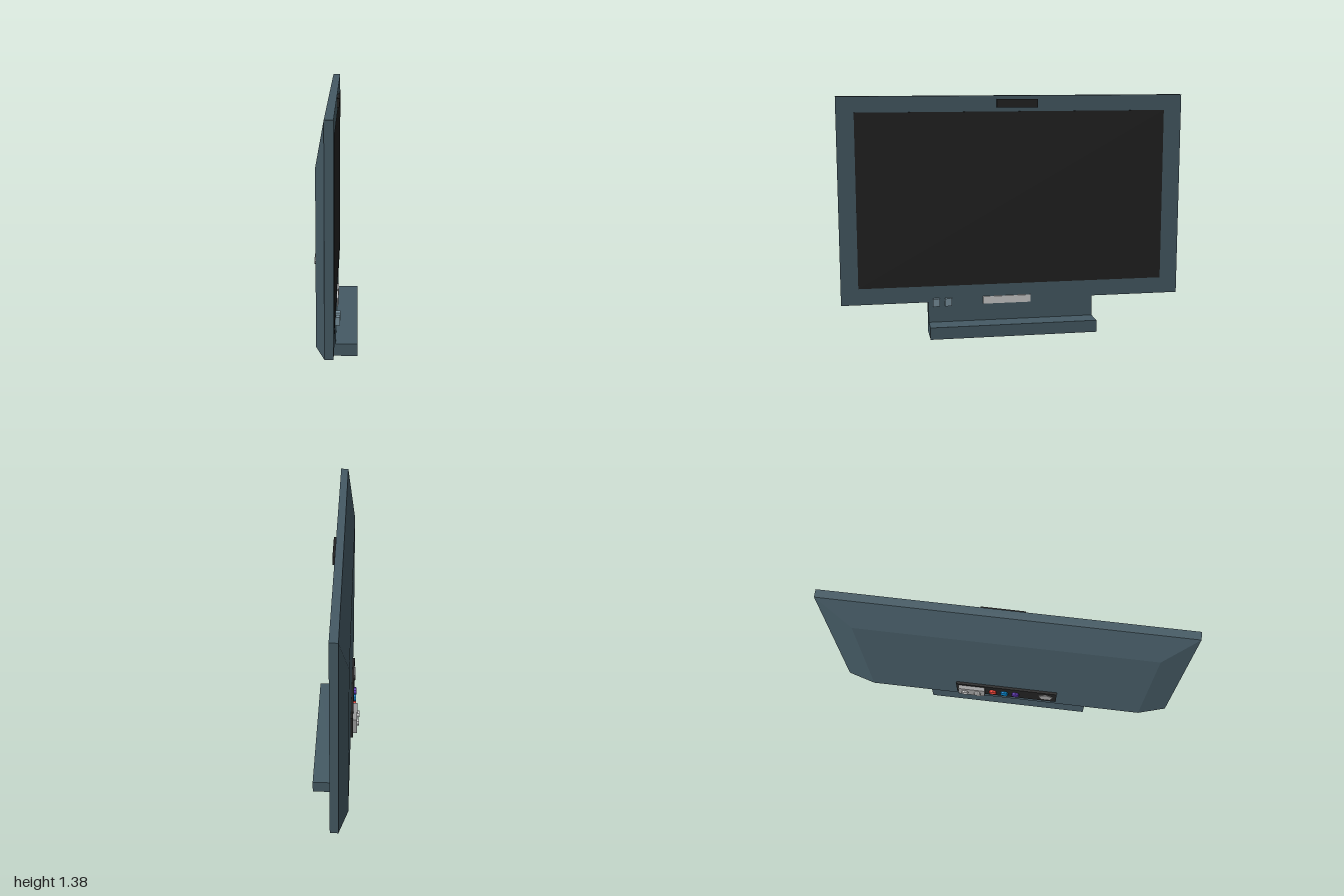
import * as THREE from 'three';

const mat = (color) => new THREE.MeshStandardMaterial({ color, flatShading: true });
const shell = mat(0x455a64), black = mat(0x212121), silver = mat(0xbdbdbd);
const grey = mat(0x9e9e9e), buttonGrey = mat(0x78909c);

export function createModel() {
  const root = new THREE.Group();
  const add = (name, geometry, material) => {
    const mesh = new THREE.Mesh(geometry, material);
    mesh.name = name;
    root.add(mesh);
    return mesh;
  };
  // Box given by its extents on each axis
  const box = (name, material, [x0, x1], [y0, y1], [z0, z1]) => {
    const g = new THREE.BoxGeometry(x1 - x0, y1 - y0, z1 - z0);
    g.translate((x0 + x1) / 2, (y0 + y1) / 2, (z0 + z1) / 2);
    return add(name, g, material);
  };
  // Short round plug lying along x on the back
  const plug = (name, material, radius, x0, x1, y, z, sides, turn = 0) => {
    const g = new THREE.CylinderGeometry(radius, radius, x1 - x0, sides);
    g.rotateY(turn).rotateZ(Math.PI / 2).translate((x0 + x1) / 2, y, z);
    return add(name, g, material);
  };

  // Front frame and screen facing +x
  box('frame', shell, [-0.035, 0.01], [0.19, 1.38], [-1, 1]);
  box('screen', black, [0, 0.012], [0.285, 1.29], [-0.895, 0.9]);

  // Back cover: a box whose rear face narrows at the top and both sides
  const cover = box('backCover', shell, [-0.083, -0.035], [0.19, 1.38], [-1, 1]);
  const p = cover.geometry.attributes.position;
  for (let i = 0; i < p.count; i++) {
    if (p.getX(i) < -0.06) {
      p.setZ(i, Math.sign(p.getZ(i)) * 0.835);
      if (p.getY(i) > 1) p.setY(i, 1.12);
    }
  }
  cover.geometry.computeVertexNormals();

  // L-shaped stand, extruded along z
  const profile = new THREE.Shape([
    [-0.06, 0], [0.13, 0], [0.13, 0.07], [0.01, 0.07], [0.01, 0.19], [-0.06, 0.19],
  ].map(([x, y]) => new THREE.Vector2(x, y)));
  const stand = new THREE.ExtrudeGeometry(profile, { depth: 0.975, bevelEnabled: false });
  add('stand', stand.translate(0, 0, -0.475), shell);

  // Front details
  box('topSensor', black, [0.01, 0.024], [1.312, 1.36], [-0.14, 0.097]);
  box('namePlate', silver, [0.01, 0.018], [0.17, 0.213], [-0.102, 0.18]);
  for (const z of [0.385, 0.455]) {
    box('button', buttonGrey, [0.005, 0.034], [0.168, 0.213], [z - 0.02, z + 0.02]);
  }

  // Connector panel on the back
  box('connectorPanel', black, [-0.097, -0.083], [0.265, 0.405], [-0.3, 0.315]);
  box('terminalBlock', grey, [-0.12, -0.097], [0.288, 0.384], [-0.285, -0.125]);
  for (const z of [-0.245, -0.168]) {
    plug('terminalPost', silver, 0.021, -0.132, -0.12, 0.338, z, 8);
  }
  [[0xf44336, -0.075], [0x0288d1, -0.005], [0x5e35b1, 0.063]].forEach(([color, z]) => {
    plug('colourSocket', mat(color), 0.023, -0.111, -0.097, 0.335, z, 8);
  });
  plug('powerSocket', grey, 0.046, -0.102, -0.097, 0.335, 0.25, 5, Math.PI / 2);

  return root;
}
